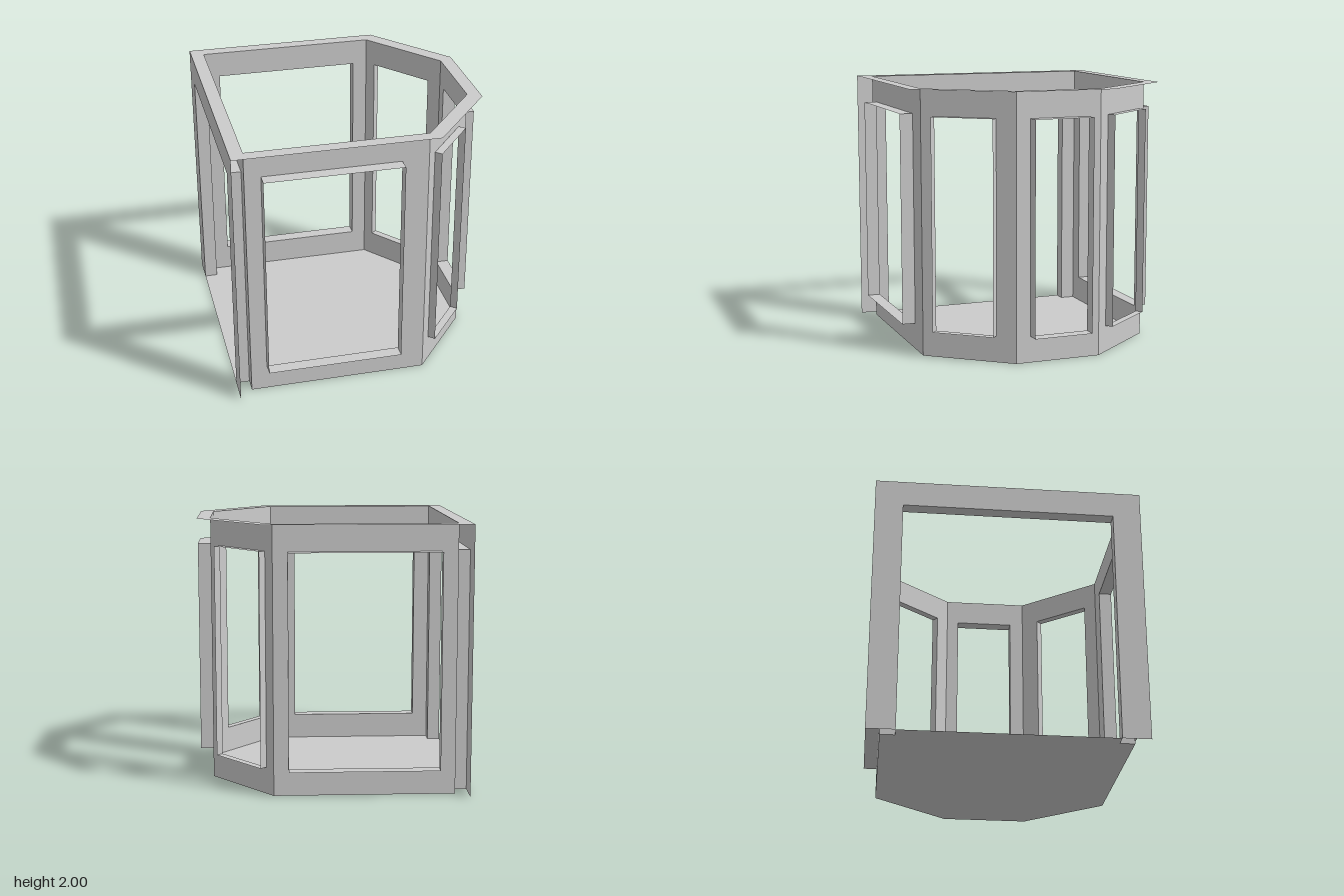
import * as THREE from 'three';

const material = new THREE.MeshStandardMaterial({ color: 0xcccccc, side: THREE.DoubleSide, flatShading: true });
const HEIGHT = 2, SILL = 0.2, HEAD = 1.8;

// Plan outlines as [x, z]
const inner = [[-0.9, 0.9], [0.44, 0.9], [0.9, 0.33], [0.9, -0.33], [0.44, -0.9], [-0.9, -0.9]];
const outer = [[-1, 1], [0.5, 1], [1, 0.39], [1, -0.39], [0.5, -1], [-1, -1]];

const points = (list) => list.map(([x, y]) => new THREE.Vector2(x, y));

function addMesh(group, name, geometry) {
  const mesh = new THREE.Mesh(geometry, material);
  mesh.name = name;
  group.add(mesh);
  return mesh;
}

// Upright wall from a to b, with an opening between distances s and e along it
function wallGeometry(a, b, s, e, low) {
  const dx = b[0] - a[0], dz = b[1] - a[1], length = Math.hypot(dx, dz);
  let shape;
  if (low > 0) {
    shape = new THREE.Shape(points([[0, 0], [length, 0], [length, HEIGHT], [0, HEIGHT]]));
    shape.holes.push(new THREE.Path(points([[s, low], [s, HEAD], [e, HEAD], [e, low]])));
  } else {
    shape = new THREE.Shape(points([[0, 0], [s, 0], [s, HEAD], [e, HEAD], [e, 0], [length, 0], [length, HEIGHT], [0, HEIGHT]]));
  }
  const along = new THREE.Vector3(dx / length, 0, dz / length);
  const up = new THREE.Vector3(0, 1, 0);
  const matrix = new THREE.Matrix4().makeBasis(along, up, along.clone().cross(up));
  matrix.setPosition(a[0], 0, a[1]);
  return new THREE.ShapeGeometry(shape).applyMatrix4(matrix);
}

// Four-sided lining of an opening, pushed outward from its corners by depth
function liningGeometry(p, q, depth, low) {
  const loop = [[p, low], [q, low], [q, HEAD], [p, HEAD]];
  const positions = [];
  for (let i = 0; i < 4; i++) {
    const [[c, y0], [d, y1]] = [loop[i], loop[(i + 1) % 4]];
    const A = [c[0], y0, c[1]], B = [d[0], y1, d[1]];
    const C = [d[0] + depth[0], y1, d[1] + depth[1]], D = [c[0] + depth[0], y0, c[1] + depth[1]];
    positions.push(...A, ...B, ...C, ...A, ...C, ...D);
  }
  const geometry = new THREE.BufferGeometry();
  geometry.setAttribute('position', new THREE.Float32BufferAttribute(positions, 3));
  geometry.computeVertexNormals();
  return geometry;
}

const distance = (a, b) => Math.hypot(a[0] - b[0], a[1] - b[1]);

export function createModel() {
  const group = new THREE.Group();
  group.name = 'bayRoom';

  // Walls in outline order: opening ends p and q, lining depth, opening bottom
  const openings = [
    { name: 'front', p: [-0.78, 0.9], q: [0.24, 0.9], depth: [0, 0.1], low: SILL },
    { name: 'frontBay', p: [0.507, 0.817], q: [0.805, 0.448], depth: [0.043, 0.042], low: SILL },
    { name: 'middleBay', p: [0.9, 0.22], q: [0.9, -0.235], depth: [0.1, 0], low: SILL },
    { name: 'backBay', p: [0.827, -0.42], q: [0.493, -0.834], depth: [0.043, -0.04], low: SILL },
    { name: 'back', p: [0.33, -0.9], q: [-0.78, -0.9], depth: [0, -0.1], low: SILL },
    { name: 'door', p: [-0.9, -0.79], q: [-0.9, 0.79], depth: [-0.1, 0], low: 0 },
  ];
  openings.forEach(({ name, p, q, depth, low }, i) => {
    const a = inner[i], b = inner[(i + 1) % inner.length];
    addMesh(group, name + 'Wall', wallGeometry(a, b, distance(a, p), distance(a, q), low));
    addMesh(group, name + 'Lining', liningGeometry(p, q, depth, low));
  });

  // Outer skin of the door wall
  addMesh(group, 'doorOuterWall', wallGeometry([-1, -1], [-1, 1], 0.21, 1.79, 0));

  // Floor inside the walls
  const flip = (list) => points(list.map(([x, z]) => [x, -z]));
  addMesh(group, 'floor', new THREE.ShapeGeometry(new THREE.Shape(flip(inner))).rotateX(-Math.PI / 2));

  // Flat rim along the wall tops
  const rim = new THREE.Shape(flip(outer));
  rim.holes.push(new THREE.Path(flip(inner)));
  addMesh(group, 'topRim', new THREE.ShapeGeometry(rim).rotateX(-Math.PI / 2).translate(0, HEIGHT, 0));

  return group;
}
